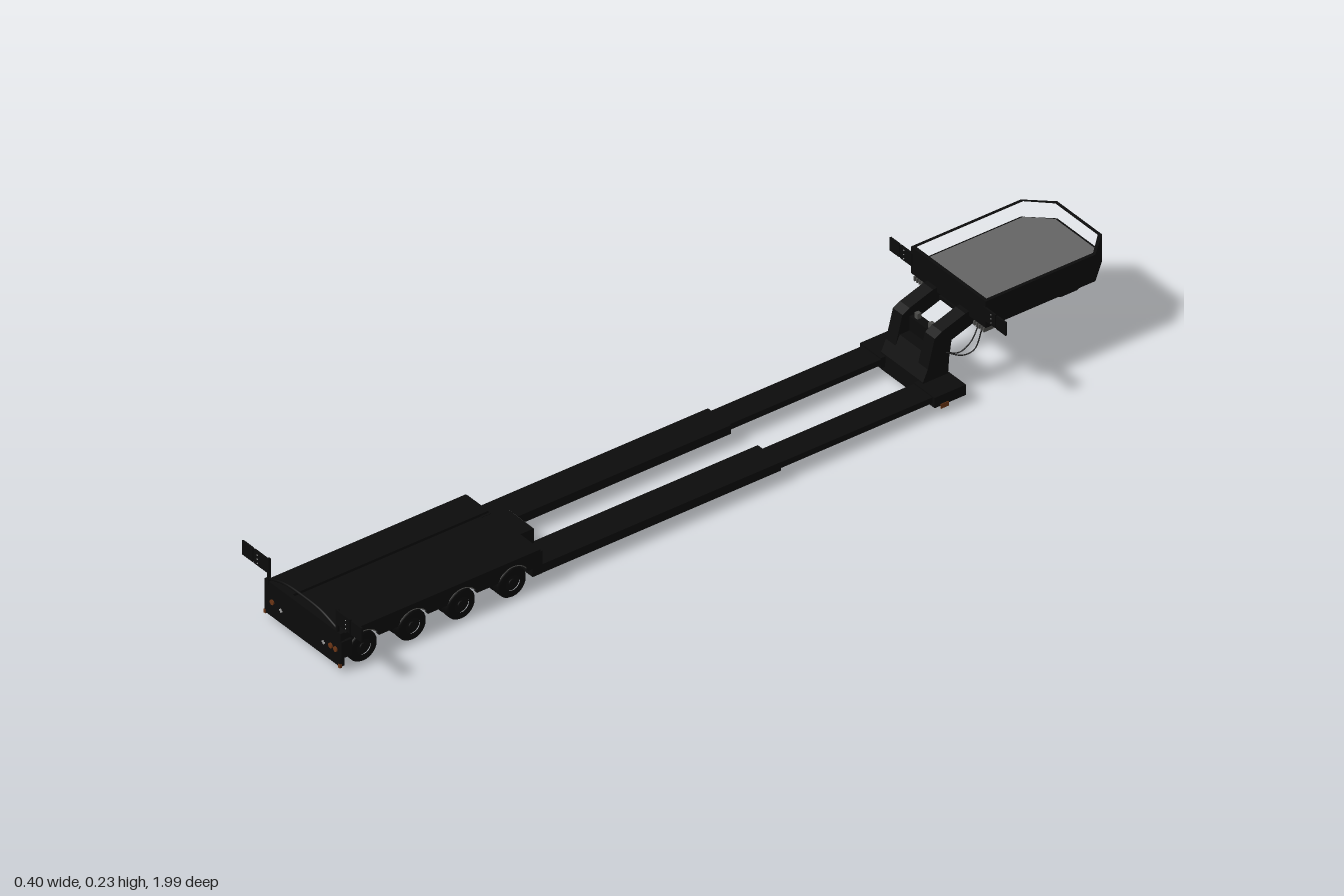
import * as THREE from 'three';

export function createModel() {
  const root = new THREE.Group();
  root.name = 'extendableLowLoaderTrailer';

  const mat = (name, color) => {
    const m = new THREE.MeshStandardMaterial({ color });
    m.name = name;
    return m;
  };
  const black = mat('blackPaint', 0x0b0b0b);
  const rubber = mat('tyreRubber', 0x080808);
  const floorGrey = mat('floorGrey', 0x646464);
  const steel = mat('steel', 0x4a4a48);
  const amber = mat('lampAmber', 0x6b3515);
  const silver = mat('silver', 0x9a9a9a);

  const add = (name, geo, m = black) => {
    const mesh = new THREE.Mesh(geo, m);
    mesh.name = name;
    root.add(mesh);
    return mesh;
  };
  // Box from its minimum and maximum on each axis
  const box = (name, x0, x1, y0, y1, z0, z1, m) => add(name,
    new THREE.BoxGeometry(x1 - x0, y1 - y0, z1 - z0)
      .translate((x0 + x1) / 2, (y0 + y1) / 2, (z0 + z1) / 2), m);
  // Mirrored pair of boxes
  const pair = (name, x0, x1, y0, y1, z0, z1, m) => {
    box(name + 'Left', x0, x1, y0, y1, z0, z1, m);
    box(name + 'Right', -x1, -x0, y0, y1, z0, z1, m);
  };
  const polygon = (pts) => new THREE.Shape(pts.map(p => new THREE.Vector2(...p)));
  // Side profile (z, y) extruded from x0 to x1
  const sideProfile = (name, shape, x0, x1, m) => add(name,
    new THREE.ExtrudeGeometry(shape, { depth: x1 - x0, bevelEnabled: false, curveSegments: 10 })
      .rotateY(-Math.PI / 2).translate(x1, 0, 0), m);
  // Plan outline (x, z) extruded from y0 to y1
  const plan = (name, shape, y0, y1, m) => add(name,
    new THREE.ExtrudeGeometry(shape, { depth: y1 - y0, bevelEnabled: false })
      .rotateX(Math.PI / 2).translate(0, y1, 0), m);
  const tube = (name, pts, r, m) => add(name, new THREE.TubeGeometry(
    new THREE.CatmullRomCurve3(pts.map(p => new THREE.Vector3(...p))), 16, r, 6), m);

  // Rear bogie deck: raised sides, slightly sunk centre
  const axles = [0.93, 0.805, 0.68, 0.55];
  pair('deckSide', 0.05, 0.125, 0.077, 0.09, 0.48, 0.985);
  box('deckCentre', -0.05, 0.05, 0.045, 0.084, 0.44, 0.985);
  box('deckFrontRamp', -0.04, 0.04, 0.05, 0.08, 0.436, 0.44, steel);
  pair('deckFrontWall', 0.045, 0.125, 0.03, 0.085, 0.475, 0.5);

  // Side skirts with wheel arches
  const skirt = new THREE.Shape();
  skirt.moveTo(0.48, 0.09);
  skirt.lineTo(0.48, 0.05);
  [...axles].reverse().forEach(z => {
    const r = 0.041, a = Math.asin(0.015 / r);
    skirt.lineTo(z - r * Math.cos(a), 0.05);
    skirt.absarc(z, 0.035, r, Math.PI - a, a, true);
  });
  skirt.lineTo(0.985, 0.05);
  skirt.lineTo(0.985, 0.09);
  skirt.closePath();
  sideProfile('skirtLeft', skirt, 0.117, 0.125);
  sideProfile('skirtRight', skirt, -0.125, -0.117);

  // Axles, twin tyres, hubs and mudguard trims
  const tyreProfile = [[0.018, -0.013], [0.033, -0.013], [0.036, -0.009], [0.036, 0.009],
    [0.033, 0.013], [0.018, 0.013]].map(p => new THREE.Vector2(...p));
  axles.forEach((z, i) => {
    add('axle' + i, new THREE.CylinderGeometry(0.008, 0.008, 0.22, 10)
      .rotateZ(Math.PI / 2).translate(0, 0.036, z));
    for (const s of [-1, 1]) {
      for (const x of [0.081, 0.111]) {
        add('tyre', new THREE.LatheGeometry(tyreProfile, 24)
          .rotateZ(Math.PI / 2).translate(s * x, 0.036, z), rubber);
        add('rim', new THREE.CylinderGeometry(0.02, 0.02, 0.018, 18)
          .rotateZ(Math.PI / 2).translate(s * x, 0.036, z));
      }
      add('hub', new THREE.CylinderGeometry(0.008, 0.008, 0.024, 10)
        .rotateZ(Math.PI / 2).translate(s * 0.111, 0.036, z));
      add('mudguardTrim', new THREE.TorusGeometry(0.041, 0.0012, 5, 12, Math.PI * 0.6)
        .rotateZ(Math.PI * 0.2).rotateY(Math.PI / 2).translate(s * 0.125, 0.035, z), steel);
    }
    pair('suspensionArm', 0.045, 0.06, 0.03, 0.078, z - 0.03, z + 0.012);
  });

  // Tail bumper with lamps and fixings
  box('tailBumper', -0.127, 0.127, 0.013, 0.094, 0.982, 0.992);
  box('tailSideBox', 0.125, 0.131, 0.035, 0.075, 0.965, 0.992);
  const disc = (name, x, y, z, r, m) => add(name,
    new THREE.CylinderGeometry(r, r, 0.004, 16).rotateX(Math.PI / 2).translate(x, y, z), m);
  for (const x of [-0.1, 0.096, 0.112]) disc('tailLamp', x, 0.05, 0.993, 0.006, amber);
  pair('cornerReflector', 0.122, 0.128, 0.011, 0.019, 0.988, 0.994, amber);
  pair('couplingBar', 0.066, 0.076, 0.043, 0.046, 0.991, 0.994, silver);
  pair('couplingPin', 0.0695, 0.0725, 0.04, 0.049, 0.991, 0.994, silver);

  // Warning boards on both ends, each made of two panels
  const boards = (name, xIn, split, xOut, y0, y1, z) => {
    pair(name + 'Inner', xIn, split - 0.002, y0, y1, z - 0.002, z + 0.002);
    pair(name + 'Outer', split + 0.002, xOut, y0, y1, z - 0.002, z + 0.002);
    pair(name + 'Hinge', split - 0.012, split + 0.004, y0 + 0.01, y0 + 0.016, z - 0.004, z - 0.002);
    for (const s of [-1, 1]) for (let i = 0; i < 3; i++)
      disc(name + 'Bolt', s * (split - 0.015), y0 + 0.006 + i * 0.01, z + 0.001, 0.0014, silver);
  };
  boards('rearBoard', 0.115, 0.163, 0.2, 0.114, 0.148, 0.992);
  boards('frontBoard', 0.12, 0.161, 0.194, 0.184, 0.216, -0.655);
  pair('boardPost', 0.112, 0.118, 0.085, 0.148, 0.987, 0.993);
  tube('boardCrossRod', [[-0.115, 0.1, 0.99], [-0.06, 0.115, 0.99], [0, 0.118, 0.99],
    [0.06, 0.115, 0.99], [0.115, 0.1, 0.99]], 0.003);

  // Telescopic side beams: wide outer sleeve, narrow inner slide
  pair('beamSleeve', 0.045, 0.122, 0.028, 0.049, -0.135, 0.48);
  pair('beamSlide', 0.055, 0.117, 0.03, 0.044, -0.56, -0.135);
  pair('beamEndPad', 0.055, 0.125, 0.022, 0.047, -0.605, -0.525);
  pair('padReflector', 0.125, 0.1265, 0.015, 0.026, -0.56, -0.54, amber);

  // Gooseneck: lower coupling block and two bent arms
  sideProfile('neckBase', polygon([[-0.535, 0.01], [-0.565, 0.01], [-0.6, 0.03],
    [-0.605, 0.1], [-0.56, 0.1], [-0.537, 0.05]]), -0.07, 0.07);
  const arm = polygon([[-0.545, 0.06], [-0.6, 0.06], [-0.61, 0.125], [-0.67, 0.145],
    [-0.67, 0.178], [-0.645, 0.175], [-0.585, 0.155], [-0.567, 0.145]]);
  sideProfile('neckArmLeft', arm, 0.038, 0.07);
  sideProfile('neckArmRight', arm, -0.07, -0.038);
  box('neckCrossBeam', -0.04, 0.04, 0.1, 0.135, -0.605, -0.585);
  pair('neckLug', 0.018, 0.028, 0.133, 0.148, -0.6, -0.59, steel);

  // Front platform: chamfered tub with a recessed floor
  const outline = (i) => [[-0.125 + i, -0.655 - i], [0.125 - i, -0.655 - i], [0.125 - i, -0.935],
    [0.075 - i / 2, -0.99 + i], [-0.075 + i / 2, -0.99 + i], [-0.125 + i, -0.935]];
  const rim = polygon(outline(0));
  rim.holes.push(new THREE.Path(outline(0.008).map(p => new THREE.Vector2(...p))));
  plan('platformWall', rim, 0.188, 0.23);
  plan('platformBase', polygon(outline(0)), 0.165, 0.188);
  plan('platformFloor', polygon(outline(0.008)), 0.186, 0.192, floorGrey);
  plan('platformUnderside', polygon(outline(0.02)), 0.152, 0.165);
  sideProfile('platformBelly', polygon([[-0.66, 0.155], [-0.66, 0.147], [-0.82, 0.14],
    [-0.89, 0.115], [-0.93, 0.115], [-0.975, 0.14], [-0.98, 0.155]]), -0.07, 0.07);
  add('kingpin', new THREE.CylinderGeometry(0.012, 0.012, 0.012, 16).translate(0, 0.11, -0.91), steel);
  box('noseSocketPlate', -0.02, 0.02, 0.148, 0.164, -0.994, -0.988);
  box('noseSocket', -0.01, 0.01, 0.152, 0.16, -0.996, -0.993, steel);

  // Valve blocks and hoses behind the platform
  for (const s of [-1, 1]) {
    for (let i = 0; i < 5; i++) {
      const x = s * (0.084 + i * 0.008);
      box('valve', x - 0.002, x + 0.002, 0.15, 0.16, -0.68, -0.656, steel);
    }
    for (const d of [0, 0.012]) {
      tube('hose', [[s * (0.085 + d), 0.152, -0.67], [s * (0.088 + d), 0.115 - d, -0.645],
        [s * (0.08 + d), 0.095, -0.62], [s * 0.068, 0.1, -0.595]], 0.0014);
    }
  }
  return root;
}
